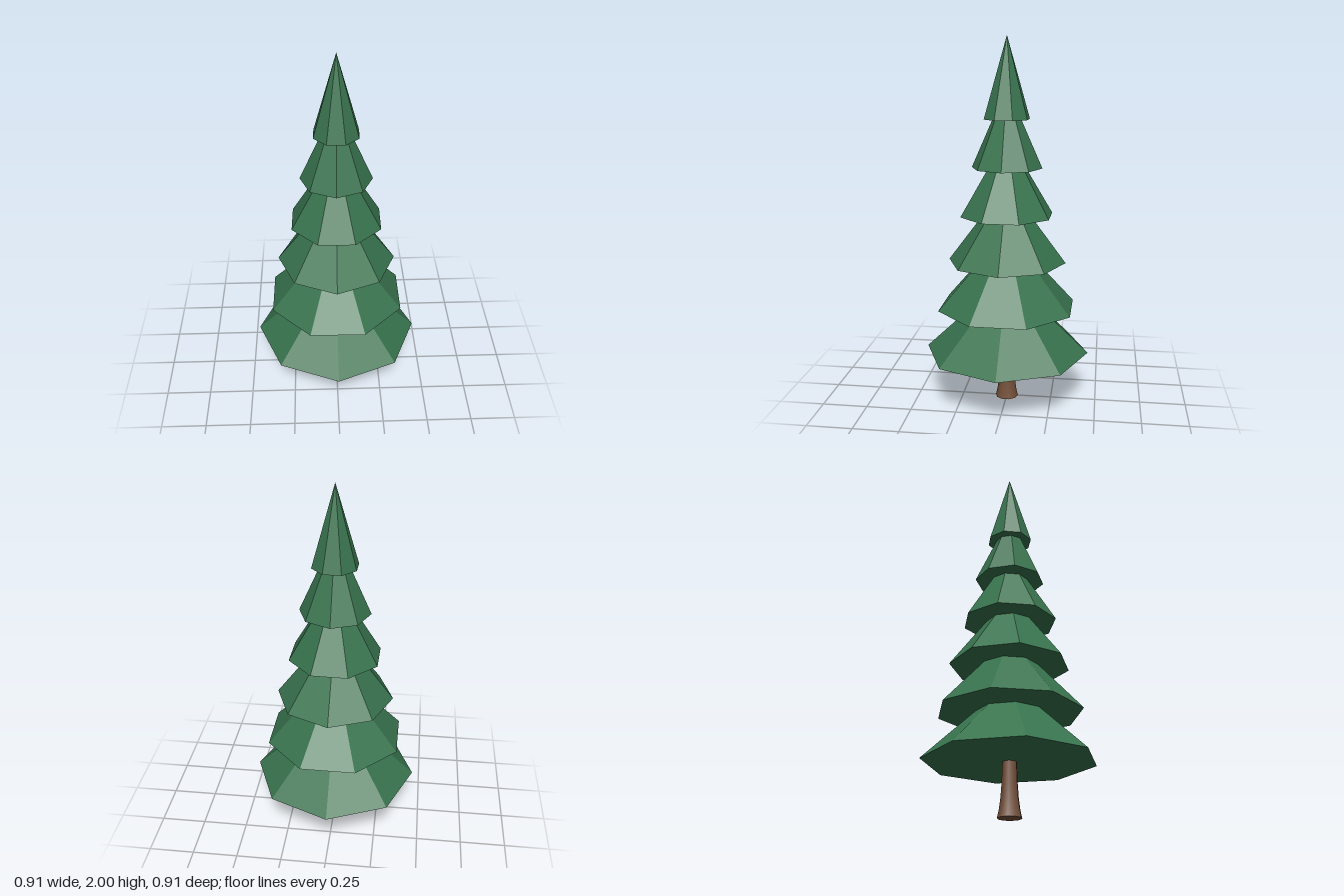
import * as THREE from 'three';

const foliageGreen = new THREE.MeshStandardMaterial({ color: 0x38734e });
foliageGreen.name = 'foliageGreen';
const barkBrown = new THREE.MeshStandardMaterial({ color: 0x74503a });
barkBrown.name = 'barkBrown';

const TIERS = 6;
const SIDES = 8;
const TIER_HEIGHT = 0.43;

export function createModel() {
  const tree = new THREE.Group();
  tree.name = 'pineTree';

  // Trunk flaring out at the root, closed underneath
  const profile = [
    [0, 0], [0.063, 0], [0.063, 0], [0.054, 0.04], [0.046, 0.1],
    [0.041, 0.17], [0.037, 0.28], [0.034, 0.4],
  ].map(([r, y]) => new THREE.Vector2(r, y));
  const base = new THREE.LatheGeometry(profile.slice(0, 2), 10);
  const side = new THREE.LatheGeometry(profile.slice(2), 10);
  const trunk = new THREE.Group();
  trunk.name = 'trunk';
  for (const [name, geometry] of [['trunkBase', base], ['trunkSide', side]]) {
    const mesh = new THREE.Mesh(geometry, barkBrown);
    mesh.name = name;
    trunk.add(mesh);
  }
  tree.add(trunk);

  // Overlapping eight-sided cones, each smaller and turned from the one below
  const foliage = new THREE.Group();
  foliage.name = 'foliage';
  for (let i = 0; i < TIERS; i++) {
    const t = i / (TIERS - 1);
    const radius = THREE.MathUtils.lerp(0.453, 0.125, t);
    const bottom = THREE.MathUtils.lerp(0.28, 1.57, t);
    // Unshared vertices give flat facets
    const cone = new THREE.ConeGeometry(radius, TIER_HEIGHT, SIDES).toNonIndexed();
    cone.computeVertexNormals();
    const tier = new THREE.Mesh(cone, foliageGreen);
    tier.name = `foliageTier${i + 1}`;
    tier.position.y = bottom + TIER_HEIGHT / 2;
    tier.rotation.y = -0.4 * i;
    foliage.add(tier);
  }
  tree.add(foliage);

  return tree;
}
